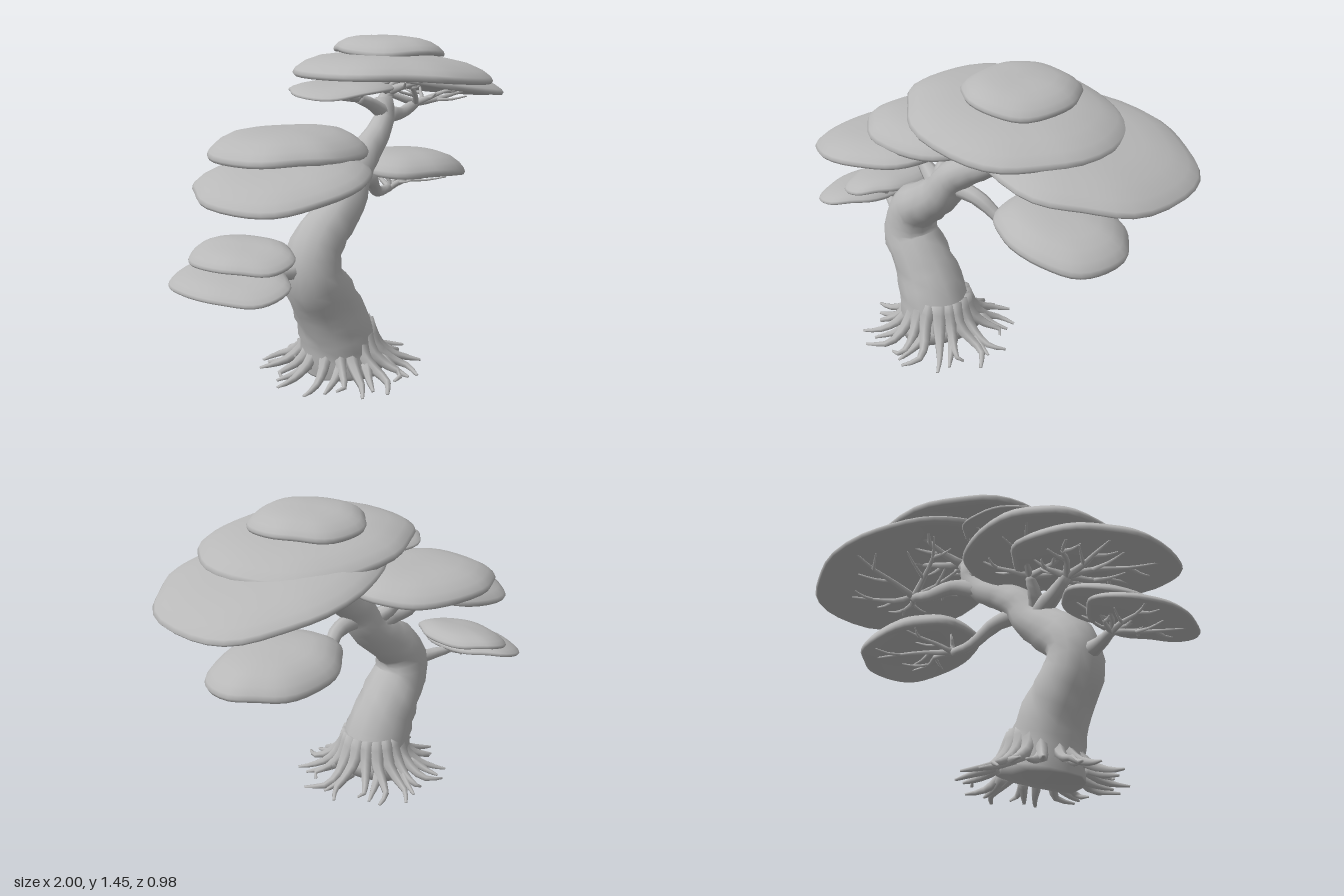
import * as THREE from 'three';
import { mergeVertices } from 'three/addons/utils/BufferGeometryUtils.js';

const V = (x, y, z) => new THREE.Vector3(x, y, z);
const TAU = Math.PI * 2;
const grey = new THREE.MeshStandardMaterial({ color: 0xb8b8b8 });
grey.name = 'plain grey';

// Joins closed cross-sections into one smooth skin
function skin(rings) {
  const n = rings[0].length, idx = [];
  const pos = rings.flat().flatMap(p => p.toArray());
  for (let i = 0; i < rings.length - 1; i++) {
    for (let j = 0; j < n; j++) {
      const a = i * n + j, c = i * n + (j + 1) % n;
      idx.push(a, c, a + n, c, c + n, a + n);
    }
  }
  let g = new THREE.BufferGeometry();
  g.setAttribute('position', new THREE.Float32BufferAttribute(pos, 3));
  g.setIndex(idx);
  g = mergeVertices(g, 1e-5);
  g.computeVertexNormals();
  return g;
}

export function createModel() {
  const tree = new THREE.Group();
  tree.name = 'bonsaiTree';
  let seed = 7;
  const rand = () => (seed = (seed * 16807) % 2147483647) / 2147483647;
  const jit = s => (rand() - 0.5) * 2 * s;

  function add(name, geometry, parent) {
    const m = new THREE.Mesh(geometry, grey);
    m.name = name;
    parent.add(m);
  }

  function group(name) {
    const g = new THREE.Group();
    g.name = name;
    tree.add(g);
    return g;
  }

  // Limb along points, tapering from radius r0 to r1 and closed at both ends
  function limb(name, pts, r0, r1, parent, sides = 6, steps = 6) {
    const curve = new THREE.CatmullRomCurve3(pts);
    const frames = curve.computeFrenetFrames(steps), rings = [];
    for (let i = 0; i <= steps; i++) {
      const c = curve.getPointAt(i / steps);
      const r = THREE.MathUtils.lerp(r0, r1, (i / steps) ** 0.85);
      const ring = Array.from({ length: sides }, (_, j) => {
        const a = j / sides * TAU, q = r * (1 + jit(0.05));
        const p = c.clone().addScaledVector(frames.normals[i], Math.cos(a) * q)
          .addScaledVector(frames.binormals[i], Math.sin(a) * q);
        p.y = Math.max(p.y, 0);
        return p;
      });
      const cap = ring.map(() => c.clone());
      if (i === 0) rings.push(cap);
      rings.push(ring);
      if (i === steps) rings.push(cap);
    }
    add(name, skin(rings), parent);
  }

  // Trunk
  limb('trunk', [V(-0.19, 0, 0.08), V(-0.25, 0.22, 0.08), V(-0.32, 0.35, 0.08),
    V(-0.395, 0.48, 0.08), V(-0.37, 0.6, 0.08), V(-0.26, 0.69, 0.08), V(-0.16, 0.77, 0.08),
    V(-0.09, 0.87, 0.075), V(0.02, 0.95, 0.06), V(0.14, 1.02, 0.04), V(0.2, 1.1, 0.03),
    V(0.2, 1.17, 0.02)], 0.19, 0.04, tree, 14, 30);

  // Roots spread over the ground, every other one forked
  const roots = group('roots');
  for (let i = 0; i < 18; i++) {
    const a = (i + 0.25) / 18 * TAU + jit(0.06), bend = jit(0.1);
    const len = i % 3 === 1 ? 0.3 : 0.37 + jit(0.015);
    const at = (r, y, d) => V(-0.195 + Math.cos(a + d) * r, y, 0.075 + Math.sin(a + d) * r);
    limb('root', [at(0.11, 0.2, 0), at(0.165, 0.1, 0), at(0.23, 0.045, bend),
      at(0.3, 0.018, bend), at(len, 0.002, -bend)], 0.045, 0.007, roots, 6, 8);
    if (i % 2) {
      limb('rootFork', [at(0.19, 0.06, 0), at(0.25, 0.025, 0.12), at(0.33, 0.003, 0.2)],
        0.028, 0.007, roots);
    }
  }

  // Foliage pad: domed top, thin rim, hollow underside; [share of outline, share of height]
  const profile = [[0, 1], [0.3, 0.98], [0.55, 0.9], [0.75, 0.72], [0.9, 0.42], [0.98, 0.13],
    [1, -0.05], [0.98, -0.2], [0.92, -0.22], [0.75, 0], [0.4, 0.25], [0, 0.35]];
  const soft = v => Math.sign(v) * Math.abs(v) ** 0.87;

  // Centre x, y, z, half width, half depth, height, rise per x, widening towards +x
  function pad(name, x, y, z, rx, rz, height, tilt, egg = 0) {
    const phase = rand() * 6;
    const point = (a, s, h) => {
      const w = s * (1 - 0.05 * Math.sin(2 * a) ** 2 * (1 + Math.sin(3 * a + phase)));
      const dx = rx * w * soft(Math.cos(a));
      const dz = rz * w * soft(Math.sin(a)) * (1 + egg * Math.cos(a));
      const wave = 0.008 * s * s * Math.sin(3 * a + phase);
      return V(x + dx, y + h * height + tilt * dx + wave, z + dz);
    };
    add(name, skin(profile.map(([s, h]) =>
      Array.from({ length: 40 }, (_, j) => point(j / 40 * TAU, s, h)))), tree);
    return point;
  }
  pad('crownTopPad', 0.26, 1.375, 0, 0.24, 0.262, 0.07, -0.05);
  const crownMiddle = pad('crownMiddlePad', 0.24, 1.275, 0.035, 0.48, 0.44, 0.09, -0.075);
  const crownRight = pad('crownRightPad', 0.51, 1.2, -0.06, 0.49, 0.44, 0.08, -0.18, 0.15);
  const crownLeft = pad('crownLeftPad', -0.1, 1.235, 0, 0.24, 0.225, 0.035, 0.04);
  const midLower = pad('midLeftLowerPad', -0.545, 0.905, 0.04, 0.365, 0.37, 0.08, 0.13);
  const midUpper = pad('midLeftUpperPad', -0.34, 0.995, -0.075, 0.36, 0.325, 0.09, -0.01, -0.15);
  const lowLower = pad('lowLeftLowerPad', -0.81, 0.535, 0, 0.19, 0.28, 0.05, 0.13);
  const lowUpper = pad('lowLeftUpperPad', -0.695, 0.61, -0.04, 0.175, 0.245, 0.052, 0.13);
  const lowRight = pad('lowRightPad', 0.48, 0.79, -0.035, 0.31, 0.265, 0.095, -0.1);

  // Twigs that fan out from a hub to the underside of a pad, each with two side sprigs
  function twigs(hub, padPoint, count, r, parent) {
    for (let i = 0; i < count; i++) {
      const tip = padPoint((i + 0.5) / count * TAU + jit(0.2), 0.72 + jit(0.06), 0.05);
      const s = hub.distanceTo(tip);
      const on = f => hub.clone().lerp(tip, f).add(V(jit(s * 0.07), jit(0.012), jit(s * 0.07)));
      const p1 = on(0.33), p2 = on(0.67);
      limb('twig', [hub, p1, p2, tip], r, r * 0.25, parent);
      const side = V(hub.z - tip.z, 0, tip.x - hub.x);
      [[p1, 0.3], [p2, -0.25]].forEach(([p, k]) => {
        const end = p.clone().lerp(tip, 0.55).addScaledVector(side, k);
        const mid = p.clone().lerp(end, 0.5).add(V(0, -0.008, 0));
        limb('sprig', [p, mid, end], r * 0.55, r * 0.2, parent, 5, 4);
      });
    }
  }

  // Branch that ends in a hub of twigs under one or more pads
  function branch(name, path, r0, r1, count, ...pads) {
    const g = group(name);
    limb('branchLimb', path, r0, r1, g, 8, 10);
    pads.forEach(p => twigs(path[path.length - 1], p, count, r1 * 0.8, g));
  }
  branch('lowLeftBranch', [V(-0.42, 0.52, 0.08), V(-0.53, 0.515, 0.05), V(-0.66, 0.53, 0)],
    0.048, 0.02, 4, lowLower, lowUpper);
  branch('midLeftBranch', [V(-0.18, 0.76, 0.07), V(-0.27, 0.8, 0.04), V(-0.36, 0.82, 0.01),
    V(-0.43, 0.87, 0)], 0.058, 0.025, 6, midLower);
  branch('midLeftUpperBranch', [V(-0.2, 0.8, 0.07), V(-0.24, 0.86, 0), V(-0.25, 0.92, -0.04)],
    0.045, 0.022, 5, midUpper);
  branch('lowRightBranch', [V(-0.08, 0.83, 0.07), V(0.06, 0.81, 0.05), V(0.17, 0.73, 0.01),
    V(0.28, 0.725, 0)], 0.046, 0.02, 5, lowRight);
  branch('highRightBranch', [V(0.12, 1.01, 0.04), V(0.27, 1.07, 0), V(0.43, 1.065, -0.03),
    V(0.54, 1.1, -0.03)], 0.05, 0.024, 6, crownRight);
  branch('highLeftBranch', [V(0.19, 1.1, 0.03), V(0.1, 1.15, 0.02), V(0.02, 1.18, 0.01)],
    0.04, 0.021, 4, crownLeft);
  branch('crownBranch', [V(0.2, 1.1, 0.03), V(0.21, 1.15, 0.02), V(0.24, 1.19, 0.02)],
    0.045, 0.028, 6, crownMiddle);
  return tree;
}
